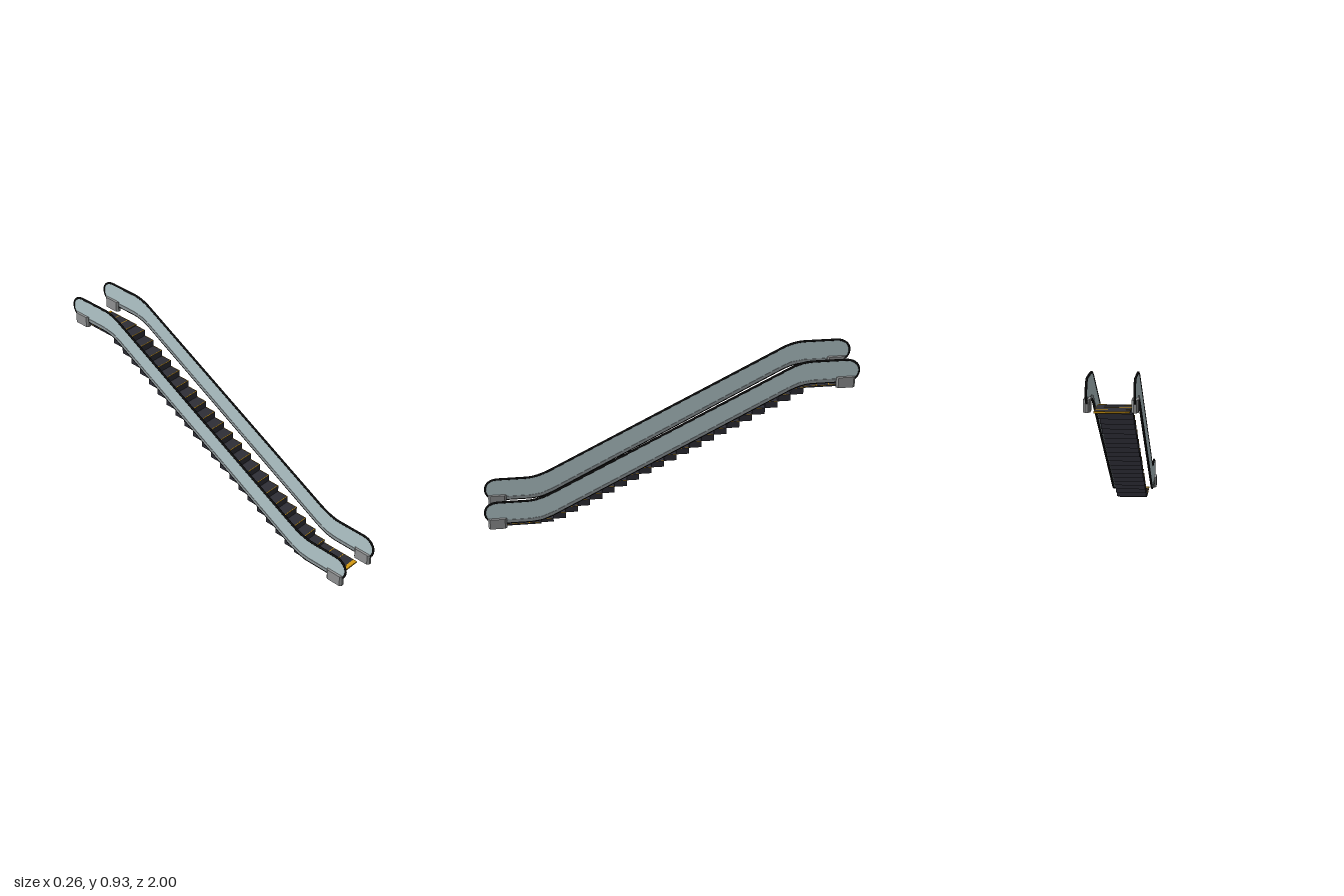
import * as THREE from 'three';

const mat = (name, color, side = THREE.FrontSide) => {
  const m = new THREE.MeshStandardMaterial({ color, side });
  m.name = name;
  return m;
};

export function createModel() {
  const stepMat = mat('stepCharcoal', 0x2e2e36);
  const yellow = mat('safetyYellow', 0xd59a10);
  const black = mat('railBlack', 0x0c0c0c);
  const glass = mat('paleGlass', 0xb6cace);
  const trim = mat('trimGrey', 0x8f989b);
  const metal = mat('newelGrey', 0x929495);

  const root = new THREE.Group();
  root.name = 'escalator';
  const add = (parent, name, geo, material) => {
    const mesh = new THREE.Mesh(geo, material);
    mesh.name = name;
    parent.add(mesh);
    return mesh;
  };
  // box given by its lower and upper limits
  const box = (parent, name, material, [x0, x1], [y0, y1], [z0, z1]) =>
    add(parent, name, new THREE.BoxGeometry(x1 - x0, y1 - y0, z1 - z0), material)
      .position.set((x0 + x1) / 2, (y0 + y1) / 2, (z0 + z1) / 2);
  // side profile drawn in (z, y), given a thickness across x
  const slab = (shape, t) => new THREE.ExtrudeGeometry(shape, { depth: t, bevelEnabled: false, curveSegments: 10 })
    .translate(0, 0, -t / 2).rotateY(-Math.PI / 2);

  // Steps: flat at both landings, rising between them
  const W = 0.085, pitch = 0.067, count = 27, zStart = 0.897;
  const topAt = (i) => THREE.MathUtils.clamp(0.39 - 0.546 * (zStart - (i + 0.5) * pitch), 0.01, 0.768);
  const steps = new THREE.Group();
  steps.name = 'steps';
  root.add(steps);
  for (let i = 0; i < count; i++) {
    const top = topAt(i), z1 = zStart - i * pitch, z0 = z1 - pitch;
    const low = Math.max(0, Math.min(topAt(i - 1), top - 0.008));
    box(steps, 'step', stepMat, [-W, W], [low, top], [z0, z1]);
    // painted borders on the tread
    const y = [top, top + 0.0008];
    box(steps, 'frontStripe', yellow, [-W, W], y, [z1 - 0.004, z1]);
    for (const s of [-1, 1])
      box(steps, 'sideStripe', yellow, [s * (W - 0.001) - 0.001, s * (W - 0.001) + 0.001], y, [z0, z1 - 0.004]);
  }
  box(root, 'lowerCombPlate', yellow, [-W, W], [0.002, 0.0105], [zStart, 0.915]);
  box(root, 'upperCombPlate', yellow, [-W, W], [0.761, 0.769], [-0.92, -0.906]);

  // Balustrade outline, also followed by the handrail
  const outline = new THREE.Shape();
  outline.moveTo(0.925, 0.175);
  outline.lineTo(0.76, 0.175);
  outline.quadraticCurveTo(0.7, 0.178, 0.62, 0.222);
  outline.lineTo(-0.63, 0.898);
  outline.quadraticCurveTo(-0.69, 0.93, -0.75, 0.93);
  outline.lineTo(-0.925, 0.93);
  outline.bezierCurveTo(-0.965, 0.928, -0.994, 0.9, -0.994, 0.865);
  outline.bezierCurveTo(-0.994, 0.825, -0.965, 0.803, -0.925, 0.803);
  outline.lineTo(-0.75, 0.803);
  outline.quadraticCurveTo(-0.69, 0.803, -0.62, 0.764);
  outline.lineTo(0.62, 0.081);
  outline.quadraticCurveTo(0.69, 0.043, 0.75, 0.043);
  outline.lineTo(0.925, 0.043);
  outline.bezierCurveTo(0.965, 0.045, 0.994, 0.07, 0.994, 0.11);
  outline.bezierCurveTo(0.994, 0.148, 0.965, 0.175, 0.925, 0.175);

  const path = outline.getSpacedPoints(220).slice(0, -1).map((p) => new THREE.Vector3(0, p.y, p.x));
  const railGeo = new THREE.TubeGeometry(new THREE.CatmullRomCurve3(path, true), 300, 0.006, 8, true);
  const panelGeo = slab(outline, 0.006);

  // Trim band along the lower edge of the glass
  const lower = [[0.9, 0.045], [0.75, 0.045], [0.69, 0.053], [0.62, 0.083], [-0.62, 0.766],
    [-0.68, 0.794], [-0.75, 0.805], [-0.9, 0.805]].map(([z, y]) => new THREE.Vector2(z, y));
  const upper = lower.map((p) => new THREE.Vector2(p.x, p.y + 0.018)).reverse();
  const trimGeo = slab(new THREE.Shape([...lower, ...upper]), 0.01);

  // Newel block with chamfered upright corners
  const a = 0.0165, b = 0.05, c = 0.01;
  const plan = new THREE.Shape([[a, b - c], [a - c, b], [c - a, b], [-a, b - c],
    [-a, c - b], [c - a, -b], [a - c, -b], [a, c - b]].map(([x, y]) => new THREE.Vector2(x, y)));
  const newelGeo = new THREE.ExtrudeGeometry(plan, { depth: 0.061, bevelEnabled: false }).rotateX(-Math.PI / 2);

  for (const s of [-1, 1]) {
    const side = new THREE.Group();
    side.name = s > 0 ? 'leftBalustrade' : 'rightBalustrade';
    side.position.x = s * 0.1125;
    root.add(side);
    add(side, 'glassPanel', panelGeo, glass);
    add(side, 'handrail', railGeo, black);
    add(side, 'lowerTrim', trimGeo, trim);
    add(side, 'lowerNewel', newelGeo, metal).position.set(0, 0.014, 0.93);
    add(side, 'upperNewel', newelGeo, metal).position.set(0, 0.772, -0.925);
  }
  return root;
}
